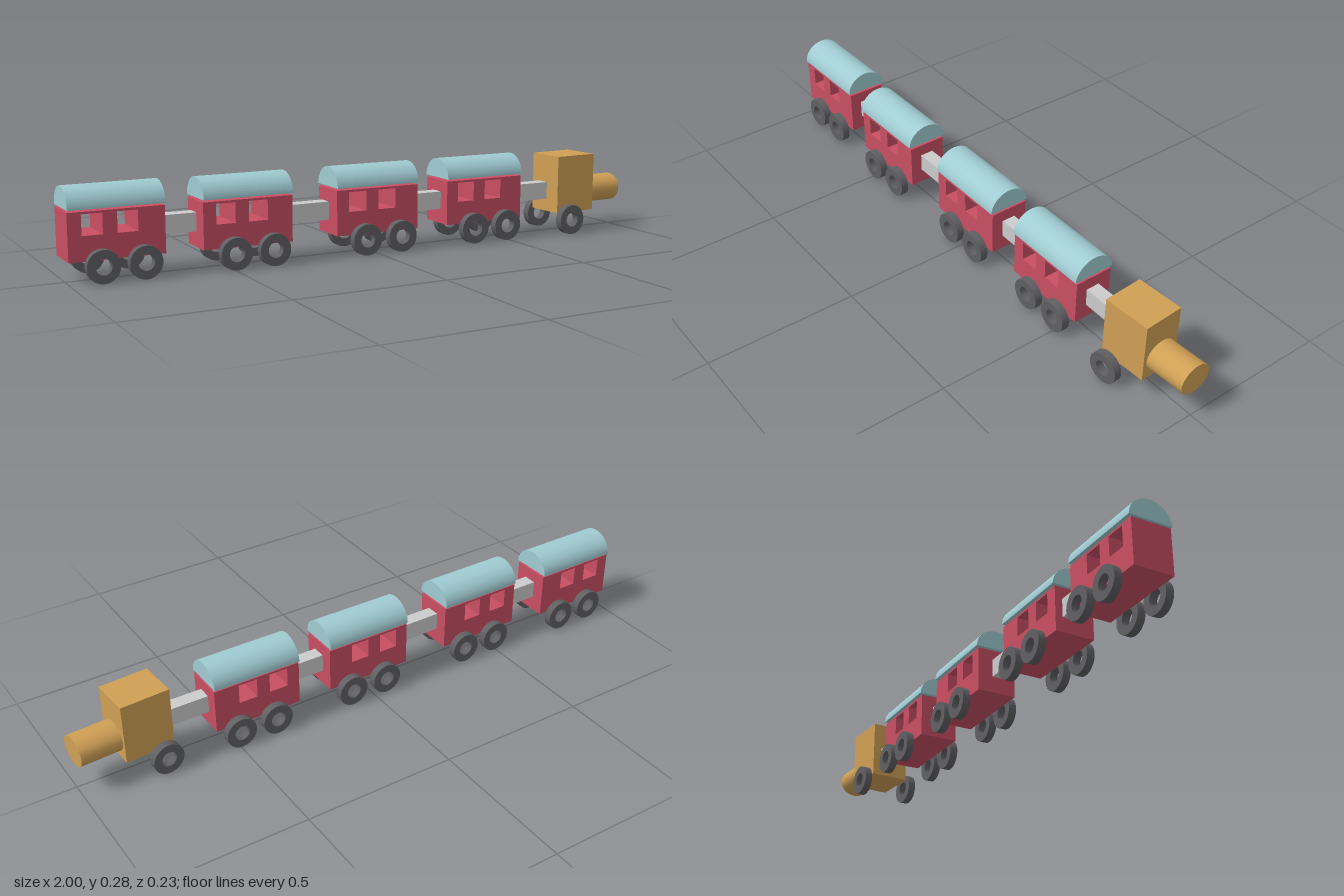
import * as THREE from 'three';

const material = (color) => new THREE.MeshStandardMaterial({ color });
const red = material(0xc94f63);
const teal = material(0xa0ccd2);
const gold = material(0xd0a055);
const dark = material(0x606063);
const grey = material(0xcccccc);

function add(parent, name, geometry, mat, x = 0, y = 0, z = 0) {
  const mesh = new THREE.Mesh(geometry, mat);
  mesh.name = name;
  mesh.position.set(x, y, z);
  parent.add(mesh);
  return mesh;
}

// Extrude a shape along z, centred on its depth
function extrude(shape, depth, curveSegments = 16) {
  return new THREE.ExtrudeGeometry(shape, { depth, bevelEnabled: false, curveSegments })
    .translate(0, 0, -depth / 2);
}

function rectangle(target, x0, y0, x1, y1) {
  target.moveTo(x0, y0);
  target.lineTo(x1, y0);
  target.lineTo(x1, y1);
  target.lineTo(x0, y1);
  target.closePath();
  return target;
}

// Flat ring wheel with an open hub
function wheelGeometry() {
  const ring = new THREE.Shape().absarc(0, 0, 0.051, 0, Math.PI * 2);
  ring.holes.push(new THREE.Path().absarc(0, 0, 0.025, 0, Math.PI * 2, true));
  return extrude(ring, 0.026);
}

// Carriage wall block with two windows running right through
function bodyGeometry() {
  const side = rectangle(new THREE.Shape(), -0.1475, 0.066, 0.1475, 0.213);
  for (const x of [-0.106, 0.001]) {
    side.holes.push(rectangle(new THREE.Path(), x, 0.142, x + 0.063, 0.206));
  }
  return extrude(side, 0.13);
}

// Half-barrel roof, lying along x
function roofGeometry() {
  const arch = new THREE.Shape();
  arch.absellipse(0, 0, 0.0705, 0.064, 0, Math.PI);
  arch.closePath();
  return extrude(arch, 0.295).rotateY(Math.PI / 2);
}

export function createModel() {
  const train = new THREE.Group();
  train.name = 'train';
  const wheel = wheelGeometry();
  const body = bodyGeometry();
  const roof = roofGeometry();
  const bar = new THREE.BoxGeometry(0.148, 0.059, 0.046);

  // Carriages: [x, z, yaw]
  const places = [[-0.8525, -0.0175, 0.008], [-0.445, -0.001, 0.008], [0.0075, -0.004, 0], [0.4165, -0.003, 0]];
  for (const [x, z, yaw] of places) {
    const carriage = new THREE.Group();
    carriage.name = 'carriage';
    carriage.position.set(x, 0, z);
    carriage.rotation.y = yaw;
    add(carriage, 'body', body, red);
    add(carriage, 'roof', roof, teal, 0, 0.22, 0);
    add(carriage, 'coupling', bar, grey, 0.2205, 0.1445, 0.002);
    for (const wx of [-0.052, 0.0765]) {
      for (const side of [-1, 1]) add(carriage, 'wheel', wheel, dark, wx, 0.051, side * 0.083);
    }
    train.add(carriage);
  }

  // Engine, turned slightly off the line of the carriages
  const engine = new THREE.Group();
  engine.name = 'engine';
  engine.position.set(0.784, 0, 0.0085);
  engine.rotation.y = 0.06;
  add(engine, 'cab', new THREE.BoxGeometry(0.16, 0.198, 0.135), gold, 0, 0.171, 0);
  const boiler = new THREE.CylinderGeometry(1, 1, 0.134, 32).rotateZ(Math.PI / 2).scale(1, 0.048, 0.056);
  add(engine, 'boiler', boiler, gold, 0.146, 0.136, 0);
  for (const side of [-1, 1]) add(engine, 'wheel', wheel, dark, -0.041, 0.051, side * 0.09);
  train.add(engine);

  return train;
}
